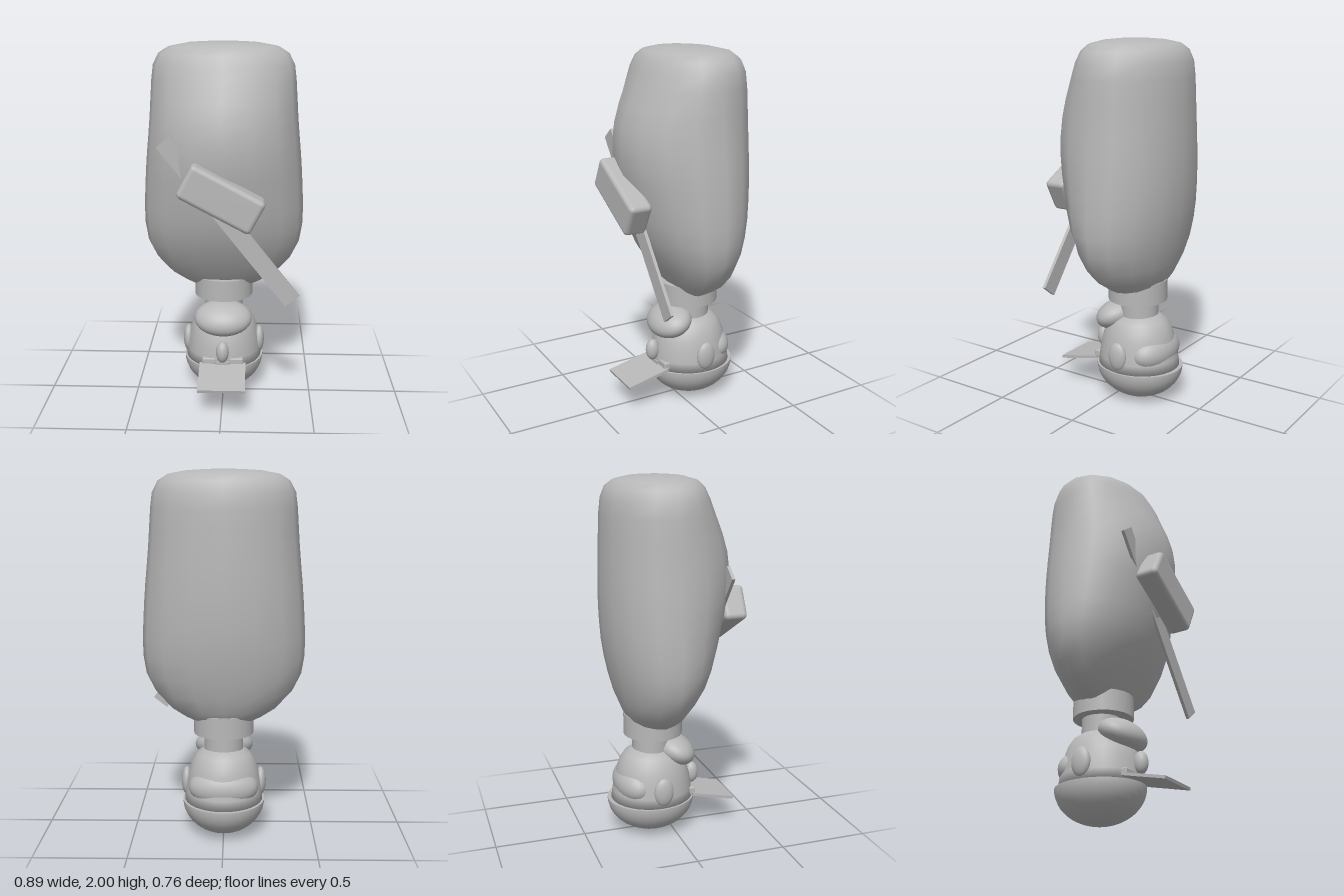
import * as THREE from 'three';
import { RoundedBoxGeometry } from 'three/addons/geometries/RoundedBoxGeometry.js';

// Smooth closed skin through rows of [y, half width, front z, back z]; zc is the z of the widest line.
function loft(rows, sides, zc) {
  const pos = [], index = [];
  for (const [y, w, zf, zb] of rows) {
    for (let k = 0; k < sides; k++) {
      const a = (k / sides) * Math.PI * 2, c = Math.cos(a);
      const mid = Math.min(Math.max(zc, zb), zf);
      pos.push(w * Math.sin(a), y, mid + c * (c > 0 ? zf - mid : mid - zb));
    }
  }
  for (let i = 0; i < rows.length - 1; i++) {
    for (let k = 0; k < sides; k++) {
      const n = (k + 1) % sides;
      const a = i * sides + k, b = i * sides + n, c = a + sides, d = b + sides;
      index.push(a, b, d, a, d, c);
    }
  }
  // end caps
  const ends = [rows[0], rows[rows.length - 1]];
  ends.forEach(([y, , zf, zb], e) => {
    const centre = pos.length / 3, base = e ? (rows.length - 1) * sides : 0;
    pos.push(0, y, (zf + zb) / 2);
    for (let k = 0; k < sides; k++) {
      const a = base + k, b = base + ((k + 1) % sides);
      if (e) index.push(centre, a, b); else index.push(centre, b, a);
    }
  });
  const g = new THREE.BufferGeometry();
  g.setAttribute('position', new THREE.Float32BufferAttribute(pos, 3));
  g.setIndex(index);
  g.computeVertexNormals();
  return g;
}

export function createModel() {
  const group = new THREE.Group();
  const grey = new THREE.MeshStandardMaterial({ color: 0xb8b8b8 });
  grey.name = 'grey';

  const add = (name, geometry, x = 0, y = 0, z = 0) => {
    const mesh = new THREE.Mesh(geometry, grey);
    mesh.name = name;
    mesh.position.set(x, y, z);
    group.add(mesh);
    return mesh;
  };
  const ellipsoid = (rx, ry, rz) => new THREE.SphereGeometry(1, 32, 20).scale(rx, ry, rz);

  // inverted torso, broad at the top and tapering to the collar
  add('torso', loft([
    [0.62, 0.06, -0.08, -0.16],
    [0.635, 0.15, -0.02, -0.2],
    [0.67, 0.22, 0.02, -0.235],
    [0.72, 0.3, 0.06, -0.265],
    [0.8, 0.375, 0.115, -0.298],
    [0.9, 0.425, 0.175, -0.325],
    [1.0, 0.441, 0.22, -0.347],
    [1.1, 0.443, 0.252, -0.363],
    [1.2, 0.438, 0.275, -0.372],
    [1.3, 0.432, 0.3, -0.377],
    [1.4, 0.424, 0.317, -0.378],
    [1.5, 0.414, 0.32, -0.377],
    [1.6, 0.405, 0.308, -0.374],
    [1.7, 0.398, 0.277, -0.371],
    [1.8, 0.391, 0.235, -0.367],
    [1.88, 0.381, 0.203, -0.358],
    [1.94, 0.35, 0.175, -0.335],
    [1.975, 0.295, 0.14, -0.29],
    [1.993, 0.2, 0.08, -0.21],
    [2.0, 0.09, 0.01, -0.13],
  ], 16, -0.065));

  // collar and neck
  add('collar', new THREE.CylinderGeometry(0.165, 0.165, 0.12, 24), 0, 0.635, -0.092);
  add('neck', new THREE.CylinderGeometry(0.108, 0.108, 0.2, 24), 0, 0.52, -0.102);

  // head, chin uppermost
  add('head', loft([
    [0.19, 0.217, 0.132, -0.335],
    [0.25, 0.212, 0.127, -0.326],
    [0.31, 0.204, 0.118, -0.313],
    [0.37, 0.19, 0.104, -0.301],
    [0.42, 0.172, 0.08, -0.284],
    [0.46, 0.145, 0.05, -0.257],
    [0.49, 0.1, 0, -0.215],
    [0.503, 0.04, -0.06, -0.15],
  ], 32, -0.105));
  add('jaw', ellipsoid(0.163, 0.084, 0.122), 0, 0.465, 0.032).rotation.x = 0.45;
  add('nose', ellipsoid(0.036, 0.062, 0.04), 0, 0.3, 0.14);
  add('backHair', ellipsoid(0.19, 0.11, 0.115), 0, 0.295, -0.207);
  for (const s of [1, -1]) {
    add(s > 0 ? 'leftEar' : 'rightEar', ellipsoid(0.03, 0.08, 0.055), s * 0.206, 0.29, -0.092);
    add(s > 0 ? 'leftEye' : 'rightEye', new RoundedBoxGeometry(0.08, 0.045, 0.04, 2, 0.008),
      s * 0.076, 0.23, 0.104);
  }
  add('eyeBridge', new THREE.BoxGeometry(0.08, 0.02, 0.03), 0, 0.228, 0.118);

  // cap dome hanging below, with its flat rim and bill
  const dome = new THREE.SphereGeometry(1, 32, 12, 0, Math.PI * 2, Math.PI / 2, Math.PI / 2);
  add('capDome', dome.scale(0.228, 0.192, 0.249), 0, 0.197, -0.107);
  const rim = new THREE.CircleGeometry(1, 32).rotateX(-Math.PI / 2);
  add('capRim', rim.scale(0.228, 1, 0.249), 0, 0.197, -0.107);
  add('capBill', new THREE.BoxGeometry(0.26, 0.016, 0.25), 0, 0.188, 0.23).rotation.x = 0.22;

  // pouch on a diagonal strap
  add('pouch', new RoundedBoxGeometry(0.432, 0.193, 0.13, 2, 0.026), 0, 1.235, 0.313).rotation.z = -0.49;
  add('strap', new THREE.BoxGeometry(1.096, 0.096, 0.018), 0.04, 1.083, 0.243).rotation.z = -0.902;

  return group;
}
